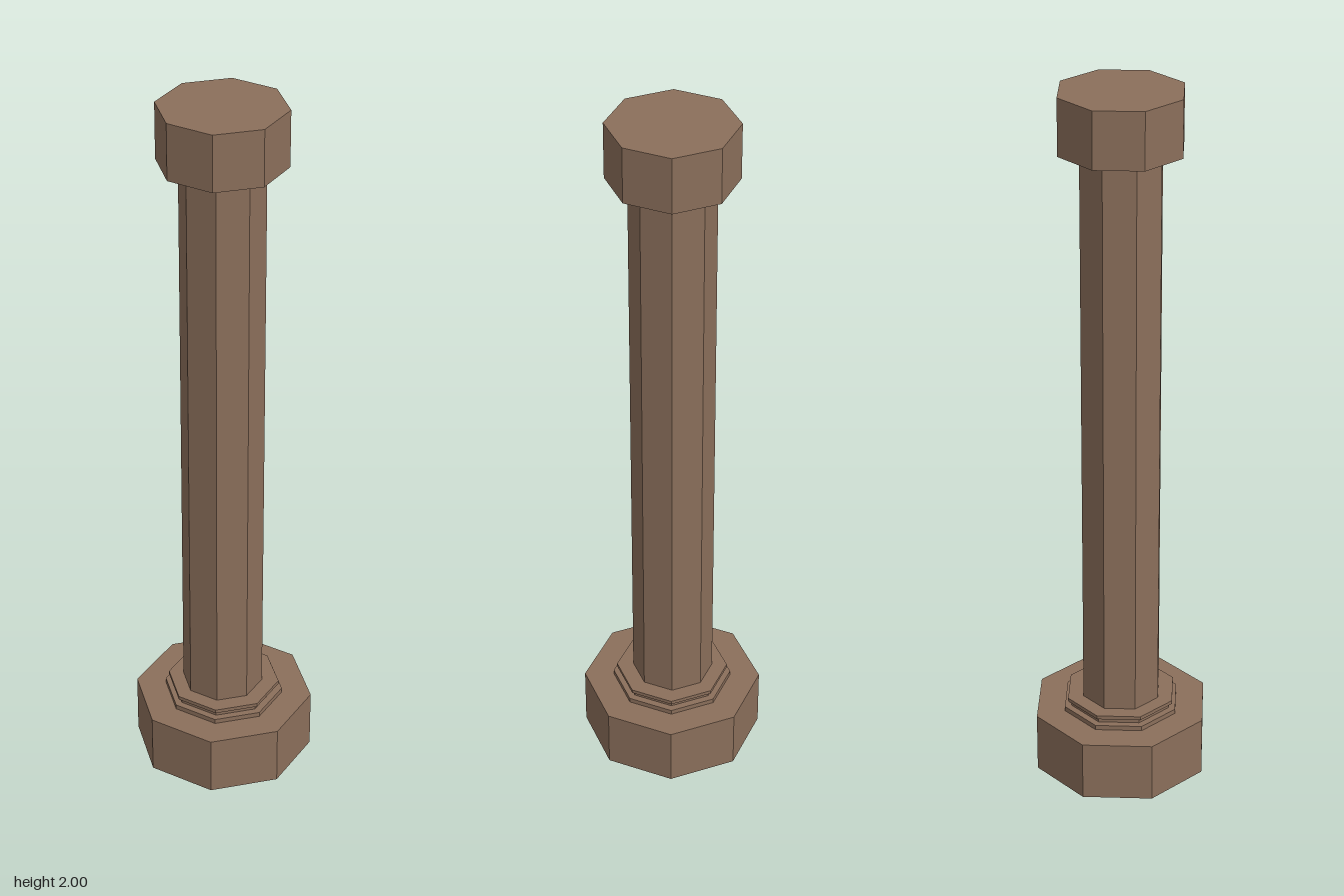
import * as THREE from 'three';

export function createModel() {
  const model = new THREE.Group();
  model.name = 'column';

  const stone = new THREE.MeshStandardMaterial({ color: 0x8b6f5b });
  stone.name = 'brown stone';
  stone.flatShading = true;

  // Eight-sided drum between two heights, with corners on the x and z axes
  function drum(name, radius, bottom, top, offset = 0) {
    const geometry = new THREE.CylinderGeometry(radius, radius, top - bottom, 8);
    const mesh = new THREE.Mesh(geometry, stone);
    mesh.name = name;
    mesh.position.set(offset, (bottom + top) / 2, offset);
    model.add(mesh);
  }

  // Base block
  drum('base', 0.253, 0, 0.175);

  // Stepped moulding: wide ring, recessed neck, narrower ring
  drum('lowerRing', 0.169, 0.175, 0.189);
  drum('ringNeck', 0.149, 0.189, 0.204);
  drum('upperRing', 0.159, 0.204, 0.215);

  // Shaft and cap, standing a hair off centre
  drum('shaft', 0.114, 0.215, 1.844, -0.002);
  drum('cap', 0.172, 1.844, 2, -0.002);

  return model;
}
